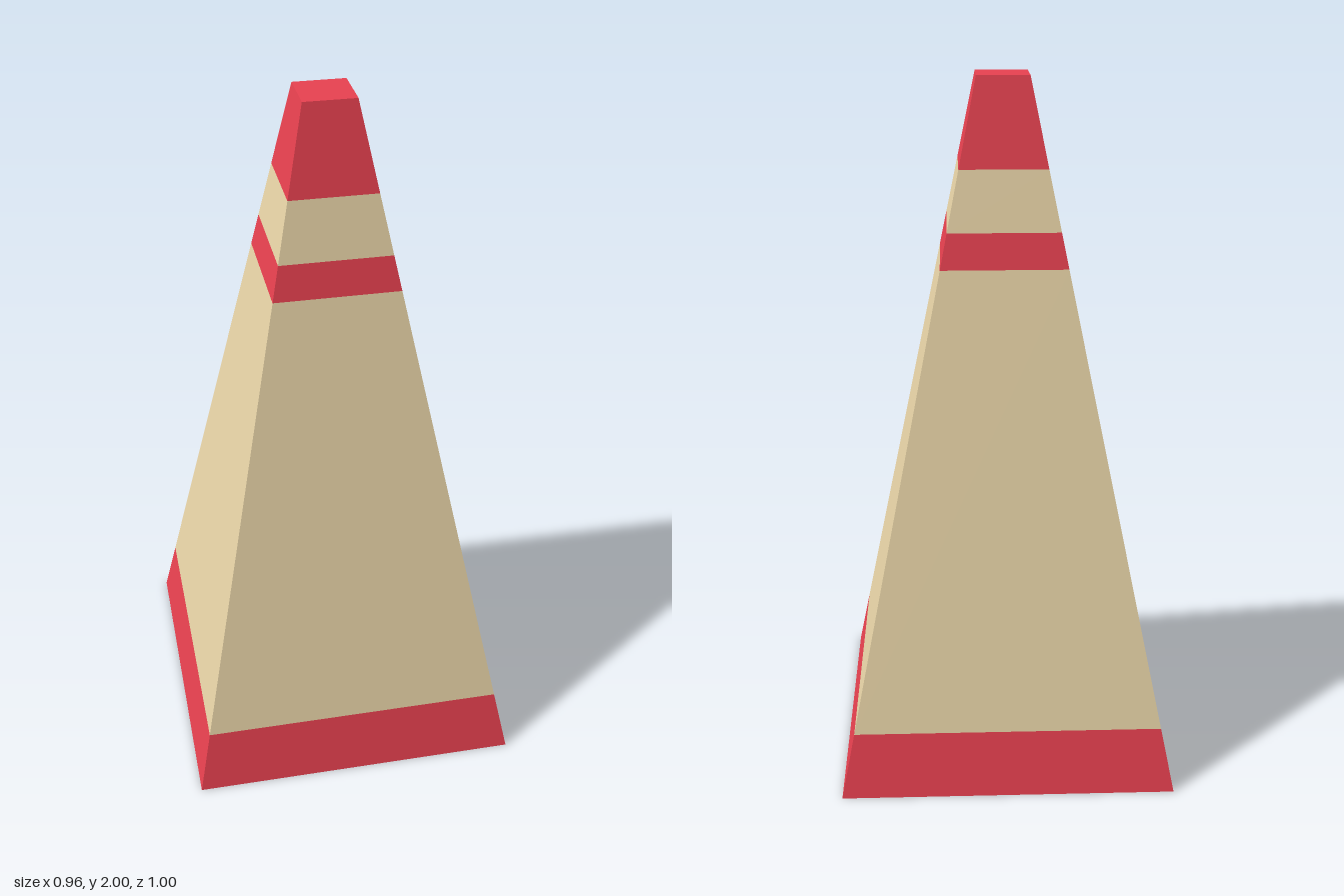
import * as THREE from 'three';

const HEIGHT = 2;
const red = new THREE.MeshStandardMaterial({ color: 0xe84150, flatShading: true });
const cream = new THREE.MeshStandardMaterial({ color: 0xe9d5a8, flatShading: true });

// Half width (x) and half depth (z) of the tapering body at height y
const halfX = (y) => THREE.MathUtils.lerp(0.48, 0.075, y / HEIGHT);
const halfZ = (y) => THREE.MathUtils.lerp(0.5, 0.075, y / HEIGHT);

// Four sloping walls between two heights, open at both ends
function bandGeometry(y0, y1) {
  const geometry = new THREE.BoxGeometry(2, 1, 2);
  const pos = geometry.attributes.position;
  for (let i = 0; i < pos.count; i++) {
    const y = pos.getY(i) > 0 ? y1 : y0;
    pos.setXYZ(i, pos.getX(i) * halfX(y), y, pos.getZ(i) * halfZ(y));
  }
  // Drop the box's top and bottom faces (indices 12 to 23)
  const index = Array.from(geometry.index.array);
  index.splice(12, 12);
  geometry.setIndex(index);
  geometry.clearGroups();
  geometry.computeVertexNormals();
  return geometry;
}

// Flat end face at height y, facing up or down
function capGeometry(y, up) {
  return new THREE.PlaneGeometry(2 * halfX(y), 2 * halfZ(y))
    .rotateX(up ? -Math.PI / 2 : Math.PI / 2)
    .translate(0, y, 0);
}

export function createModel() {
  const model = new THREE.Group();
  model.name = 'taperedCone';
  const add = (name, geometry, material) => {
    const mesh = new THREE.Mesh(geometry, material);
    mesh.name = name;
    model.add(mesh);
  };

  // Stacked colour bands, bottom to top
  const bands = [
    ['baseBand', 0, 0.185, red],
    ['body', 0.185, 1.48, cream],
    ['stripe', 1.48, 1.58, red],
    ['neck', 1.58, 1.75, cream],
    ['tip', 1.75, HEIGHT, red],
  ];
  for (const [name, y0, y1, material] of bands) add(name, bandGeometry(y0, y1), material);

  // End faces
  add('topFace', capGeometry(HEIGHT, true), red);
  add('underside', capGeometry(0, false), cream);
  return model;
}
